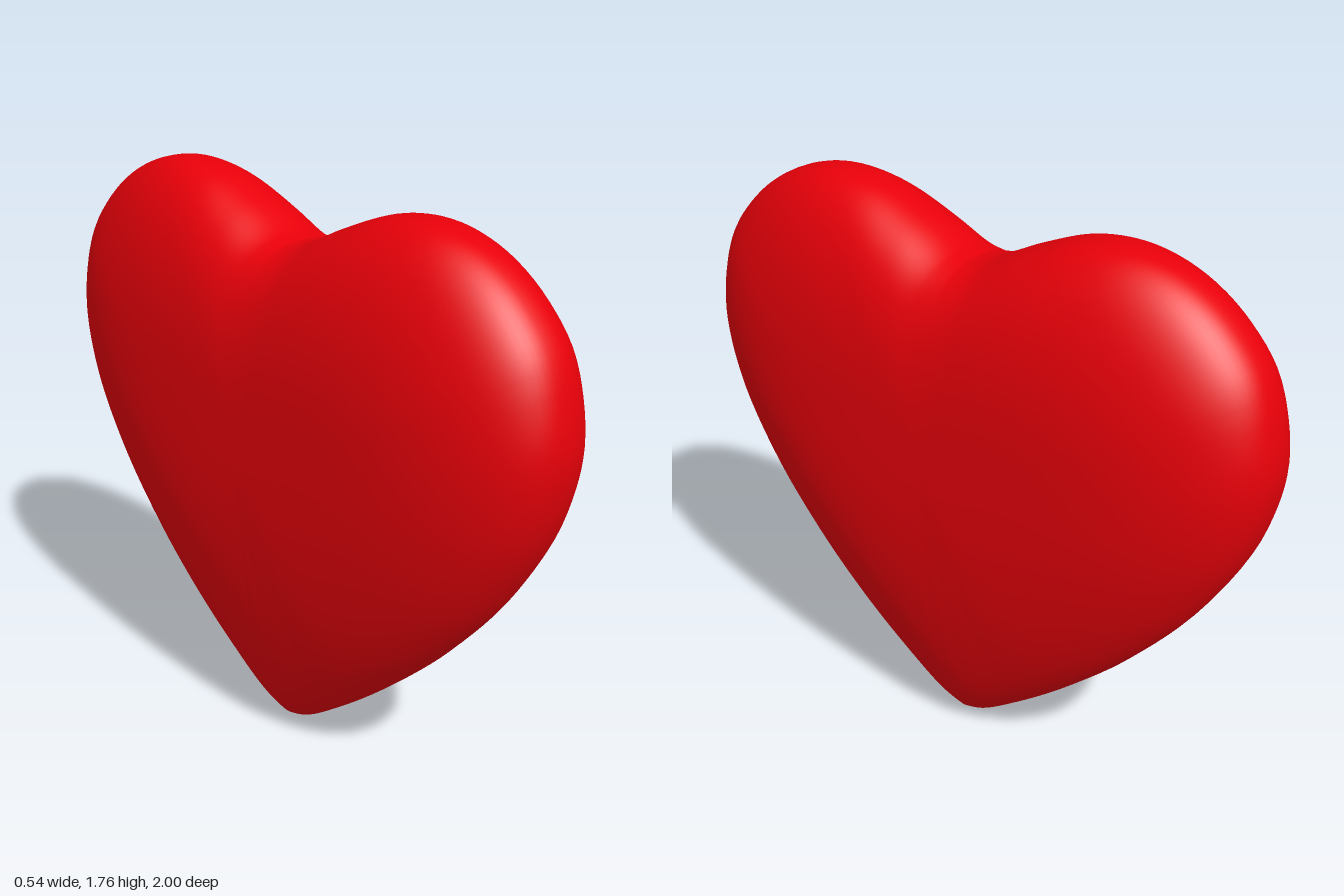
import * as THREE from 'three';

// Half outline from the notch to the tip: [z, y, fullness of the puffed section]
const HALF = [
  [0, 1.6, 3], [0.06, 1.613, 3], [0.2, 1.68, 3.1], [0.35, 1.74, 3.2], [0.48, 1.76, 3.3],
  [0.67, 1.727, 3.7], [0.85, 1.61, 4.2], [0.967, 1.43, 4.7], [1, 1.24, 4.8], [0.967, 1.05, 4.7],
  [0.82, 0.755, 4.2], [0.61, 0.49, 3.6], [0.4, 0.285, 3], [0.2, 0.12, 2.4], [0.06, 0.022, 2.1], [0, 0, 2],
];
const CENTRE_Y = 1;
const HALF_DEPTH = 0.27;
const ROWS = 80;
const SMOOTHING = 14;

// Average of the neighbours of one point on a closed outline
function smoothed(outline, j) {
  const sum = new THREE.Vector3();
  for (let k = -SMOOTHING; k <= SMOOTHING; k++) sum.add(outline.at((j + k) % outline.length));
  return sum.divideScalar(2 * SMOOTHING + 1);
}

function heartGeometry() {
  // Closed outline: smooth half curve plus its mirror
  const half = new THREE.CatmullRomCurve3(HALF.map((p) => new THREE.Vector3(...p))).getPoints(90);
  const mirrored = half.slice(1, -1).reverse().map((p) => new THREE.Vector3(-p.x, p.y, p.z));
  const outline = [...half, ...mirrored];
  const soft = outline.map((p, j) => smoothed(outline, j));
  const n = outline.length;

  // Rings grow from the +x face to the rim and shrink again to the -x face;
  // inner rings follow the softened outline so the notch and tip fade into the faces
  const positions = [];
  const indices = [];
  for (let i = 0; i <= ROWS; i++) {
    const t = (i / ROWS) * Math.PI;
    const s = Math.sin(t);
    outline.forEach((rim, j) => {
      const p = soft[j].clone().lerp(rim, Math.pow(s, 6));
      const bulge = Math.pow(Math.max(0, 1 - Math.pow(s, rim.z)), 1 / 2.4);
      const x = HALF_DEPTH * Math.sign(Math.cos(t)) * bulge;
      positions.push(x, CENTRE_Y + (p.y - CENTRE_Y) * s, p.x * s);
    });
  }
  for (let i = 0; i < ROWS; i++) {
    for (let j = 0; j < n; j++) {
      const k = (j + 1) % n;
      const a = i * n + j, b = (i + 1) * n + j, c = (i + 1) * n + k, d = i * n + k;
      if (i < ROWS - 1) indices.push(a, b, c);
      if (i > 0) indices.push(a, c, d);
    }
  }

  const geometry = new THREE.BufferGeometry();
  geometry.setAttribute('position', new THREE.Float32BufferAttribute(positions, 3));
  geometry.setIndex(indices);
  geometry.computeVertexNormals();
  return geometry;
}

export function createModel() {
  const group = new THREE.Group();
  const heart = new THREE.Mesh(heartGeometry(), new THREE.MeshStandardMaterial({ color: 0xe80009 }));
  heart.name = 'heart';
  group.add(heart);
  return group;
}
